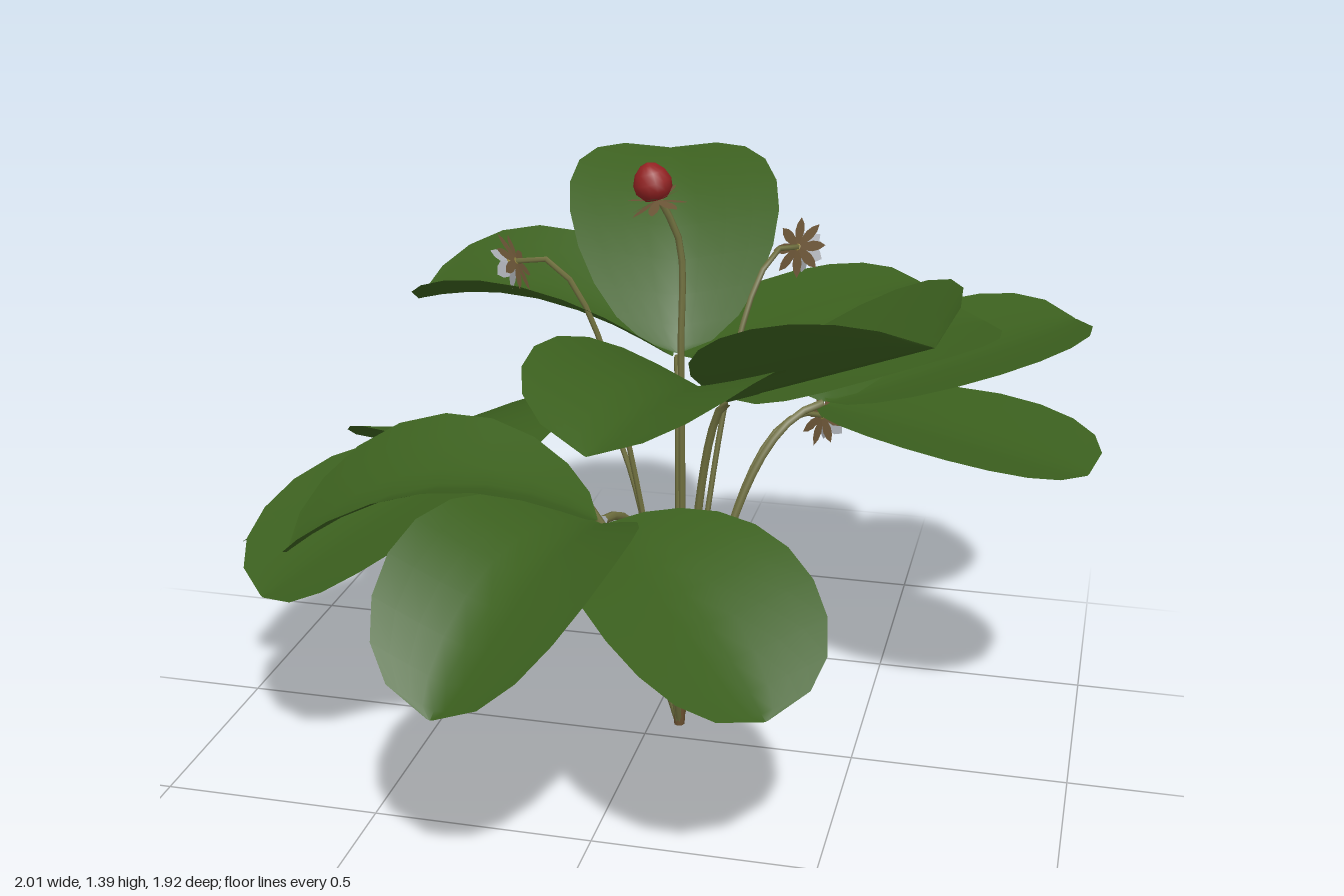
import * as THREE from 'three';

const V = (x, y, z) => new THREE.Vector3(x, y, z);
const UP = V(0, 1, 0);
const ROOT = V(0.07, 0, -0.065);

const mat = (name, color, side = THREE.FrontSide) => {
  const m = new THREE.MeshStandardMaterial({ color, side });
  m.name = name;
  return m;
};

// Rounded leaflet, folded along its midrib and arched from base to tip
function leafletGeometry(base, tip, half, arch, fold) {
  const NU = 10, NV = 8, pos = [], idx = [];
  const dir = tip.clone().sub(base);
  const side = dir.clone().cross(UP).normalize();
  const up = side.clone().cross(dir).normalize();
  for (let i = 0; i <= NU; i++) {
    const t = i / NU;
    const u = (1 - Math.cos(Math.PI * t)) / 2;
    const w = half * Math.max(0.03, Math.pow(Math.sin(Math.PI * Math.pow(t, 1.15)), 0.76));
    for (let j = 0; j <= NV; j++) {
      const v = (j / NV) * 2 - 1;
      const p = base.clone().addScaledVector(dir, u)
        .addScaledVector(UP, arch * 4 * u * (1 - u))
        .addScaledVector(side, v * w)
        .addScaledVector(up, fold * w * Math.pow(Math.abs(v), 1.2));
      pos.push(p.x, p.y, p.z);
      if (i < NU && j < NV) {
        const a = i * (NV + 1) + j, b = a + NV + 1;
        idx.push(a, a + 1, b, a + 1, b + 1, b);
      }
    }
  }
  const g = new THREE.BufferGeometry();
  g.setAttribute('position', new THREE.Float32BufferAttribute(pos, 3));
  g.setIndex(idx);
  g.computeVertexNormals();
  return g;
}

// Stem rising from the root and bending outward to its end
function stemCurve(end, lift) {
  const c1 = ROOT.clone().lerp(end, 0.24).setY(end.y * 0.48);
  const c2 = ROOT.clone().lerp(end, 0.45).setY(end.y * lift);
  return new THREE.CubicBezierCurve3(ROOT, c1, c2, end);
}

// Pointed blades in a ring around +y
function bladeRing(count, length, width, rise, material, name) {
  const ring = new THREE.Group();
  ring.name = name;
  const s = new THREE.Shape();
  s.moveTo(0, 0);
  s.quadraticCurveTo(width, length * 0.6, 0, length);
  s.quadraticCurveTo(-width, length * 0.6, 0, 0);
  const g = new THREE.ShapeGeometry(s, 4);
  g.rotateX(Math.PI / 2 - rise);
  for (let i = 0; i < count; i++) {
    const blade = new THREE.Mesh(g, material);
    blade.name = name + 'Blade';
    blade.rotation.y = (i / count) * Math.PI * 2;
    ring.add(blade);
  }
  return ring;
}

export function createModel() {
  const model = new THREE.Group();
  model.name = 'strawberryPlant';
  const leafGreen = mat('leafGreen', 0x3b5f1e, THREE.DoubleSide);
  const stemOlive = mat('stemOlive', 0x70703f);
  const sepalBrown = mat('sepalBrown', 0x6a5436, THREE.DoubleSide);
  const petalGrey = mat('petalGrey', 0xa8abb1, THREE.DoubleSide);
  const centreYellow = mat('centreYellow', 0x94853c);
  const berryRed = mat('berryRed', 0x922222);
  const crownBrown = mat('crownBrown', 0x6a5030);

  const add = (parent, name, geo, material) => {
    const m = new THREE.Mesh(geo, material);
    m.name = name;
    parent.add(m);
    return m;
  };

  // Leaves: junction, then three leaflets as [tip x, y, z, half width, arch, fold]
  const leaves = [
    { at: V(0.2, 0.87, 0.02), lets: [[0.04, 0.96, 0.65, 0.255, 0.08, 0.32],
      [0.68, 1.14, 0.36, 0.265, 0.0, 0.52], [0.72, 0.98, -0.36, 0.24, 0.035, 0.08]] },
    { at: V(0.02, 0.87, -0.25), lets: [[-0.62, 0.97, -0.25, 0.25, 0.07, 0.42],
      [-0.12, 1.25, -0.77, 0.255, 0.05, 0.25], [0.54, 0.98, -0.64, 0.24, 0.0, 0.12]] },
    { at: V(0.36, 0.77, -0.29), lets: [[0.34, 0.77, -0.95, 0.25, 0.1, 0.15],
      [0.92, 0.91, -0.65, 0.255, 0.0, 0.18], [0.99, 0.75, -0.02, 0.225, 0.01, 0.16]] },
    { at: V(-0.01, 0.69, 0.33), lets: [[-0.2, 0.5, 0.94, 0.24, 0.1, 0.32],
      [0.42, 0.46, 0.72, 0.26, 0.06, 0.18], [-0.68, 0.61, 0.48, 0.24, 0.12, 0.32]] },
    { at: V(-0.33, 0.66, -0.05), lets: [[-0.99, 0.4, -0.05, 0.26, 0.05, 0.15],
      [-0.76, 0.48, 0.45, 0.25, 0.06, 0.15], [-0.76, 0.48, -0.56, 0.25, 0.06, 0.15]] },
  ];
  for (const { at, lets } of leaves) {
    const leaf = new THREE.Group();
    leaf.name = 'leaf';
    add(leaf, 'leafStem', new THREE.TubeGeometry(stemCurve(at, 0.98), 18, 0.01, 6), stemOlive);
    for (const [x, y, z, half, arch, fold] of lets) {
      const tip = V(x, y, z);
      add(leaf, 'leaflet', leafletGeometry(at.clone().lerp(tip, 0.02), tip, half, arch, fold), leafGreen);
    }
    model.add(leaf);
  }

  // Flowers nodding outward at the ends of thin arched stems: [position, stem arch]
  const flowers = [[V(-0.31, 1.14, -0.05), 1.1], [V(0.27, 1.11, -0.42), 1.1],
    [V(0.1, 0.49, 0.43), 1.32], [V(0.35, 0.71, -0.37), 1.16], [V(-0.23, 0.73, -0.24), 1.16]];
  for (const [at, lift] of flowers) {
    const curve = stemCurve(at, lift);
    add(model, 'flowerStem', new THREE.TubeGeometry(curve, 18, 0.007, 5), stemOlive);
    const flower = new THREE.Group();
    flower.name = 'flower';
    flower.position.copy(at);
    flower.quaternion.setFromUnitVectors(UP, curve.getTangent(1));
    flower.add(bladeRing(8, 0.075, 0.026, 0.1, sepalBrown, 'sepals'));
    const petals = bladeRing(5, 0.06, 0.04, 0.5, petalGrey, 'petals');
    petals.position.y = 0.008;
    flower.add(petals);
    const centre = add(flower, 'flowerCentre', new THREE.SphereGeometry(0.016, 8, 6), centreYellow);
    centre.position.y = 0.014;
    model.add(flower);
  }

  // Ripe berry standing on the tallest stem
  const berryStem = new THREE.CatmullRomCurve3([ROOT, V(0.075, 0.5, -0.06), V(0.07, 0.95, -0.06),
    V(0.062, 1.2, -0.075), V(0.02, 1.31, -0.045)]);
  add(model, 'berryStem', new THREE.TubeGeometry(berryStem, 24, 0.008, 6), stemOlive);
  const berry = new THREE.Group();
  berry.name = 'berry';
  berry.position.set(0.018, 1.302, -0.04);
  berry.rotation.z = 0.25;
  const profile = [[0, 0], [0.026, 0.004], [0.041, 0.022], [0.043, 0.042], [0.034, 0.064],
    [0.018, 0.08], [0, 0.086]].map(([r, y]) => new THREE.Vector2(r, y));
  add(berry, 'berryFruit', new THREE.LatheGeometry(profile, 14), berryRed);
  berry.add(bladeRing(7, 0.07, 0.026, -0.3, sepalBrown, 'calyx'));
  berry.add(bladeRing(5, 0.065, 0.026, 0.25, sepalBrown, 'innerCalyx'));
  model.add(berry);

  // Short crown where the stems meet
  const crown = add(model, 'crown', new THREE.CylinderGeometry(0.018, 0.013, 0.08, 8), crownBrown);
  crown.position.set(ROOT.x, 0.04, ROOT.z);
  return model;
}
